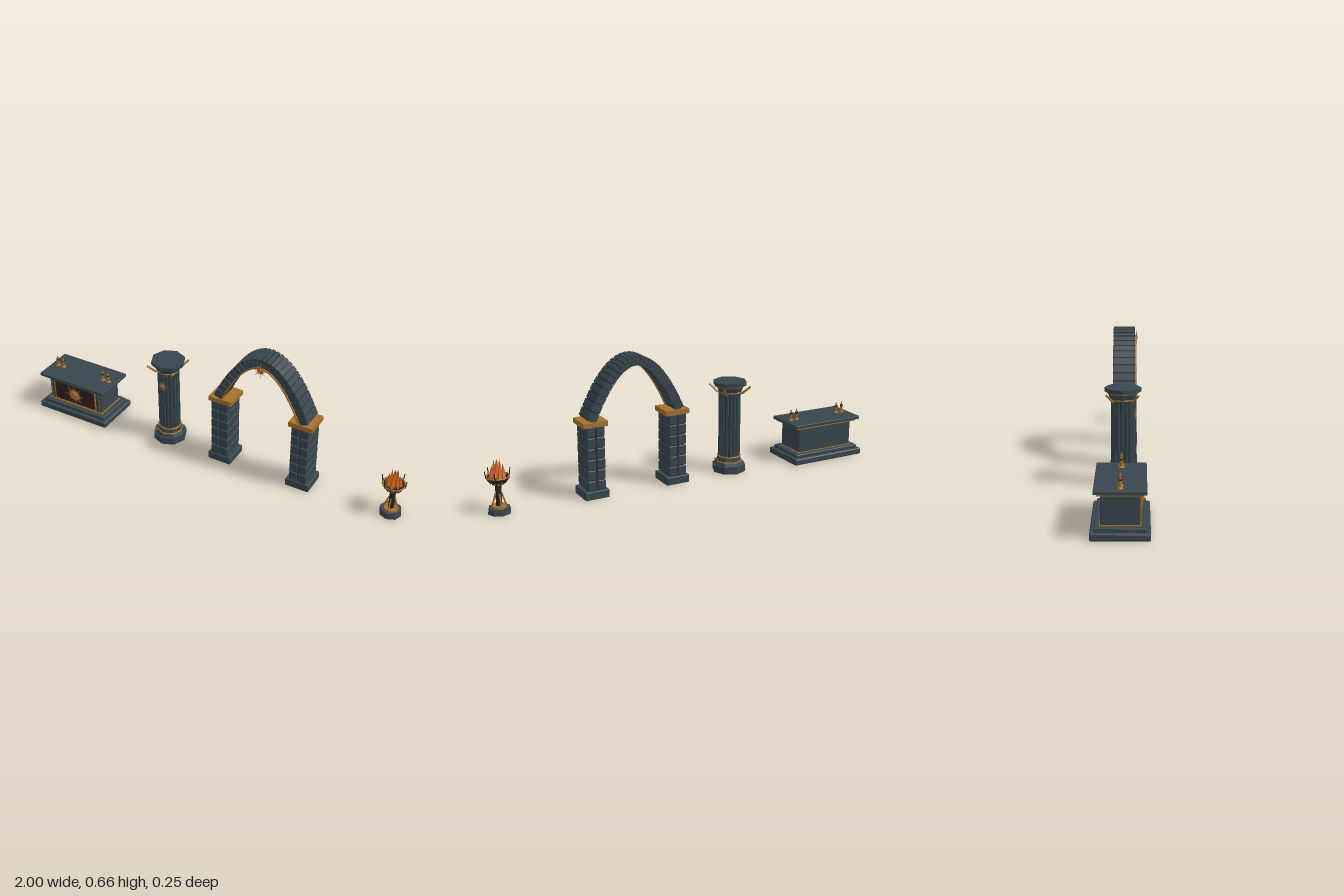
import * as THREE from 'three';
import { RoundedBoxGeometry } from 'three/addons/geometries/RoundedBoxGeometry.js';

const mat = (name, color, extra = {}) => {
  const m = new THREE.MeshStandardMaterial({ color, ...extra });
  m.name = name;
  return m;
};

export function createModel() {
  const stone = mat('slate stone', 0x38464d, { flatShading: true });
  const mortar = mat('dark mortar', 0x20292d, { flatShading: true });
  const gold = mat('aged gold', 0xa3702b, { flatShading: true });
  const iron = mat('dark iron', 0x2c2220, { flatShading: true });
  const ember = mat('ember orange', 0xcf6420, { flatShading: true });

  const add = (parent, name, geo, material, x = 0, y = 0, z = 0) => {
    const m = new THREE.Mesh(geo, material);
    m.name = name;
    m.position.set(x, y, z);
    parent.add(m);
    return m;
  };
  const group = (parent, name, x = 0, y = 0, z = 0) => {
    const g = new THREE.Group();
    g.name = name;
    g.position.set(x, y, z);
    parent.add(g);
    return g;
  };
  // Boxes and cylinders given by their bottom and top heights
  const box = (p, name, m, w, y0, y1, d, x = 0, z = 0) =>
    add(p, name, new THREE.BoxGeometry(w, y1 - y0, d), m, x, (y0 + y1) / 2, z);
  const soft = (p, name, m, w, y0, y1, d, r = 0.006, x = 0, z = 0) =>
    add(p, name, new RoundedBoxGeometry(w, y1 - y0, d, 2, r), m, x, (y0 + y1) / 2, z);
  const drum = (p, name, m, r0, r1, y0, y1, sides = 8, x = 0, z = 0) =>
    add(p, name, new THREE.CylinderGeometry(r1, r0, y1 - y0, sides), m, x, (y0 + y1) / 2, z);
  const ring = (p, name, m, r, tube, y, sides = 16) => {
    const t = add(p, name, new THREE.TorusGeometry(r, tube, 6, sides), m, 0, y, 0);
    t.rotation.x = Math.PI / 2;
    return t;
  };
  // Straight bar between two points
  const bar = (p, name, m, a, b, r0, r1 = r0, sides = 5) => {
    const A = new THREE.Vector3(...a), B = new THREE.Vector3(...b);
    const dir = B.clone().sub(A);
    const mesh = add(p, name, new THREE.CylinderGeometry(r1, r0, dir.length(), sides), m);
    mesh.position.copy(A).add(B).multiplyScalar(0.5);
    mesh.quaternion.setFromUnitVectors(new THREE.Vector3(0, 1, 0), dir.normalize());
    return mesh;
  };
  // Sun emblem facing +z: tapering rays, ring and glowing boss
  const sun = (p, x, y, z, r) => {
    const g = group(p, 'sunEmblem', x, y, z);
    for (let i = 0; i < 16; i++) {
      const a = (i / 16) * Math.PI * 2, len = i % 2 ? 0.72 * r : r;
      bar(g, 'sunRay', gold, [Math.cos(a) * r * 0.3, Math.sin(a) * r * 0.3, 0],
        [Math.cos(a) * len, Math.sin(a) * len, 0], r * 0.07, r * 0.015, 4);
    }
    add(g, 'sunRing', new THREE.TorusGeometry(r * 0.4, r * 0.07, 6, 16), gold);
    add(g, 'sunBoss', new THREE.SphereGeometry(r * 0.33, 12, 8), ember).scale.z = 0.5;
    return g;
  };

  const root = new THREE.Group();
  root.name = 'templeSet';

  // Altar
  const altar = group(root, 'altar', -0.791);
  soft(altar, 'altarPlinth', stone, 0.415, 0, 0.033, 0.245, 0.008);
  soft(altar, 'altarStep', stone, 0.38, 0.03, 0.05, 0.21, 0.005);
  box(altar, 'altarBaseTrim', gold, 0.332, 0.048, 0.054, 0.168);
  soft(altar, 'altarBody', stone, 0.32, 0.05, 0.182, 0.16, 0.005);
  box(altar, 'altarTopTrim', gold, 0.36, 0.18, 0.191, 0.19);
  soft(altar, 'altarSlab', stone, 0.398, 0.19, 0.206, 0.215, 0.003);
  box(altar, 'frontPanel', iron, 0.25, 0.062, 0.172, 0.008, 0, 0.08);
  for (const s of [-1, 1]) {
    box(altar, 'panelSideTrim', gold, 0.006, 0.058, 0.176, 0.012, s * 0.127, 0.08);
    box(altar, 'cornerTrim', gold, 0.005, 0.055, 0.18, 0.005, s * 0.15, 0.079);
    for (const dx of [0.126, 0.16]) {
      drum(altar, 'candleFoot', gold, 0.014, 0.01, 0.205, 0.213, 12, s * dx);
      drum(altar, 'candleStem', gold, 0.006, 0.006, 0.212, 0.244, 8, s * dx);
      drum(altar, 'candleCup', iron, 0.006, 0.009, 0.238, 0.245, 8, s * dx);
      drum(altar, 'candleTip', gold, 0.006, 0.001, 0.245, 0.264, 6, s * dx);
    }
  }
  box(altar, 'panelTopTrim', gold, 0.256, 0.17, 0.175, 0.011, 0, 0.08);
  box(altar, 'panelBottomTrim', gold, 0.256, 0.059, 0.064, 0.011, 0, 0.08);
  sun(altar, 0, 0.119, 0.088, 0.058);

  // Fluted column
  const column = group(root, 'column', -0.261);
  drum(column, 'columnPlinth', stone, 0.084, 0.084, 0, 0.036);
  drum(column, 'columnStep', stone, 0.076, 0.068, 0.036, 0.052);
  ring(column, 'lowerBand', gold, 0.064, 0.004, 0.053, 8).rotation.z = Math.PI / 8 * 4;
  drum(column, 'columnFoot', stone, 0.064, 0.058, 0.052, 0.078);
  ring(column, 'footBand', gold, 0.056, 0.004, 0.079, 16);
  drum(column, 'shaftCore', mortar, 0.048, 0.048, 0.07, 0.42, 24);
  for (let i = 0; i < 16; i++) {
    const a = (i / 16) * Math.PI * 2;
    drum(column, 'shaftRib', stone, 0.0082, 0.0082, 0.078, 0.408, 8, Math.sin(a) * 0.047, Math.cos(a) * 0.047);
  }
  ring(column, 'neckBand', gold, 0.055, 0.004, 0.41, 16);
  drum(column, 'capital', stone, 0.058, 0.072, 0.41, 0.446);
  drum(column, 'capitalTrim', gold, 0.073, 0.076, 0.438, 0.446);
  drum(column, 'abacus', stone, 0.084, 0.084, 0.445, 0.464);
  for (let i = 0; i < 4; i++) {
    const a = Math.PI / 4 + (i * Math.PI) / 2, c = Math.cos(a), s = Math.sin(a);
    bar(column, 'capitalBracket', gold, [c * 0.06, 0.402, s * 0.06], [c * 0.104, 0.441, s * 0.104], 0.006, 0.005);
    bar(column, 'footStud', gold, [c * 0.06, 0.056, s * 0.06], [c * 0.075, 0.05, s * 0.075], 0.005, 0.003);
  }
  sun(column, 0, 0.337, 0.058, 0.028);

  // Archway piers
  const arch = group(root, 'archway', 0.273);
  for (const s of [-1, 1]) {
    const pier = group(arch, s < 0 ? 'rightPier' : 'leftPier', s * 0.212);
    soft(pier, 'pierBase', stone, 0.122, 0, 0.04, 0.128, 0.004);
    box(pier, 'pierCore', mortar, 0.08, 0.03, 0.355, 0.106);
    for (let i = 0; i < 6; i++) {
      const y0 = 0.041 + i * 0.0525;
      for (const t of [-1, 1])
        soft(pier, 'pierBlock', stone, 0.041, y0, y0 + 0.049, 0.124, 0.004, t * 0.0235);
    }
    box(pier, 'pierCapital', gold, 0.122, 0.35, 0.374, 0.123);
  }

  // Parabolic vault of separate stones over a darker core
  const rise = 0.262, half = 0.228, foot = 0.375, count = 24;
  const at = (u, off = 0) => {
    const n = new THREE.Vector2((2 * rise * u) / (half * half), 1).normalize();
    return new THREE.Vector2(u + n.x * off, foot + rise * (1 - (u / half) ** 2) + n.y * off);
  };
  const span = (off) => Array.from({ length: count + 1 }, (_, i) => at(-half + (2 * half * i) / count, off));
  const coreShape = new THREE.Shape([...span(0.018), ...span(-0.018).reverse()]);
  add(arch, 'vaultCore', new THREE.ExtrudeGeometry(coreShape, { depth: 0.098, bevelEnabled: false }), mortar, 0, 0, -0.049);
  for (let i = 0; i < count; i++) {
    const a = at(-half + (2 * half * i) / count), b = at(-half + (2 * half * (i + 1)) / count);
    const d = b.clone().sub(a), mid = a.clone().add(b).multiplyScalar(0.5);
    const v = add(arch, 'vaultStone', new THREE.BoxGeometry(d.length() * 0.88, 0.045, 0.107), stone, mid.x, mid.y, 0);
    v.rotation.z = Math.atan2(d.y, d.x);
  }
  const trimShape = new THREE.Shape([...span(-0.0195), ...span(-0.0255).reverse()]);
  add(arch, 'vaultTrim', new THREE.ExtrudeGeometry(trimShape, { depth: 0.012, bevelEnabled: false }), gold, 0, 0, 0.048);
  sun(arch, 0, 0.606, 0.061, 0.037);

  // Brazier
  const brazier = group(root, 'brazier', 0.939);
  drum(brazier, 'brazierBase', stone, 0.054, 0.05, 0, 0.028);
  drum(brazier, 'baseRing', gold, 0.036, 0.034, 0.028, 0.036, 12);
  drum(brazier, 'stem', iron, 0.014, 0.014, 0.03, 0.14, 10);
  drum(brazier, 'stemCollar', gold, 0.022, 0.032, 0.134, 0.146, 12);
  const bowlProfile = [[0.001, 0.143], [0.028, 0.145], [0.044, 0.158], [0.051, 0.174], [0.046, 0.174], [0.001, 0.168]];
  add(brazier, 'bowl', new THREE.LatheGeometry(bowlProfile.map((p) => new THREE.Vector2(...p)), 16), iron);
  ring(brazier, 'bowlRim', gold, 0.052, 0.004, 0.174);
  for (let i = 0; i < 4; i++) {
    const a = (i * Math.PI) / 2, c = Math.cos(a), s = Math.sin(a);
    bar(brazier, 'stemStrut', gold, [c * 0.033, 0.034, s * 0.033], [c * 0.014, 0.094, s * 0.014], 0.004);
  }
  for (let i = 0; i < 12; i++) {
    const a = (i / 12) * Math.PI * 2, c = Math.cos(a), s = Math.sin(a);
    bar(brazier, 'bowlRib', iron, [c * 0.032, 0.142, s * 0.032], [c * 0.055, 0.174, s * 0.055], 0.0025);
    if (i % 2 === 0)
      bar(brazier, 'rimProng', iron, [c * 0.054, 0.17, s * 0.054], [c * 0.059, 0.206, s * 0.059], 0.003, 0.002);
  }
  // Flames: one tall tongue with two rings around it
  drum(brazier, 'flame', ember, 0.016, 0.0005, 0.168, 0.257, 5);
  for (const [n, r, top, w, turn] of [[5, 0.017, 0.247, 0.013, 0.3], [8, 0.031, 0.222, 0.012, 0]])
    for (let i = 0; i < n; i++) {
      const a = (i / n) * Math.PI * 2 + turn, c = Math.cos(a), s = Math.sin(a);
      const y = top + (i % 2 ? -0.012 : 0.006);
      bar(brazier, 'flame', ember, [c * r, 0.168, s * r], [c * r * 0.8, y, s * r * 0.8], w, 0.0005);
    }
  return root;
}
